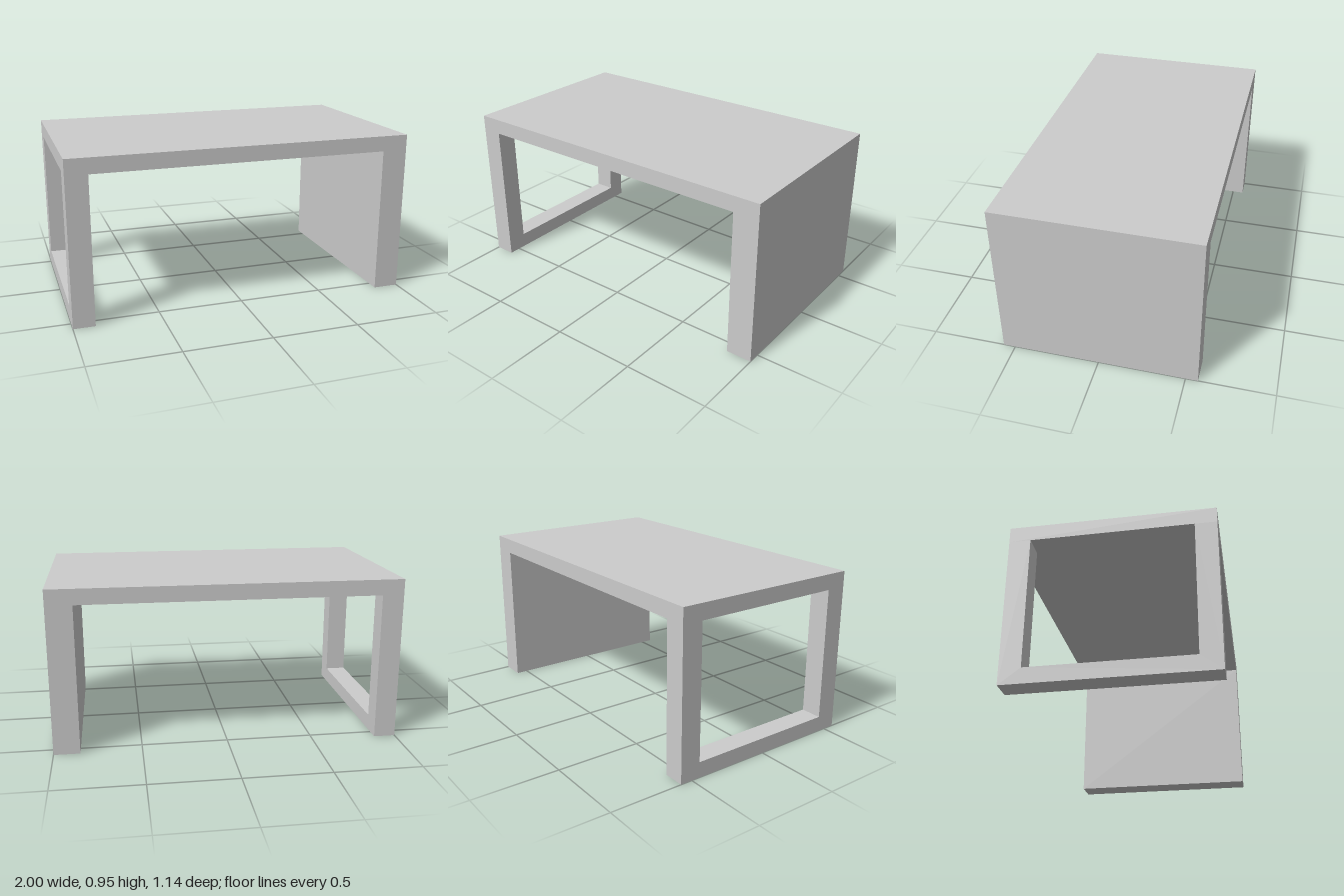
import * as THREE from 'three';

const W = 2, D = 1.14, H = 0.95;
const TOP = 0.09;      // table top thickness
const PANEL = 0.15;    // solid side thickness
const FRAME = 0.125;   // open side thickness
const POST = 0.12;     // post depth along z
const RAIL = 0.09;     // floor rail height

export function createModel() {
  const model = new THREE.Group();
  model.name = 'table';
  const material = new THREE.MeshStandardMaterial({ color: 0xcccccc, flatShading: true });

  function add(parent, name, geometry) {
    const mesh = new THREE.Mesh(geometry, material);
    mesh.name = name;
    parent.add(mesh);
    return mesh;
  }

  const legHeight = H - TOP;

  // Flat top over the whole footprint
  add(model, 'tableTop', new THREE.BoxGeometry(W, TOP, D)).position.y = H - TOP / 2;

  // Solid side on the left (+x)
  add(model, 'sidePanel', new THREE.BoxGeometry(PANEL, legHeight, D))
    .position.set(W / 2 - PANEL / 2, legHeight / 2, 0);

  // Open U-shaped side on the right (-x): two posts joined by a floor rail
  const z = D / 2, zi = z - POST;
  const outline = new THREE.Shape([
    [-z, 0], [z, 0], [z, legHeight], [zi, legHeight],
    [zi, RAIL], [-zi, RAIL], [-zi, legHeight], [-z, legHeight],
  ].map(([a, b]) => new THREE.Vector2(a, b)));
  const frame = new THREE.ExtrudeGeometry(outline, { depth: FRAME, bevelEnabled: false });
  frame.rotateY(Math.PI / 2);
  add(model, 'sideFrame', frame).position.x = -W / 2;

  return model;
}
